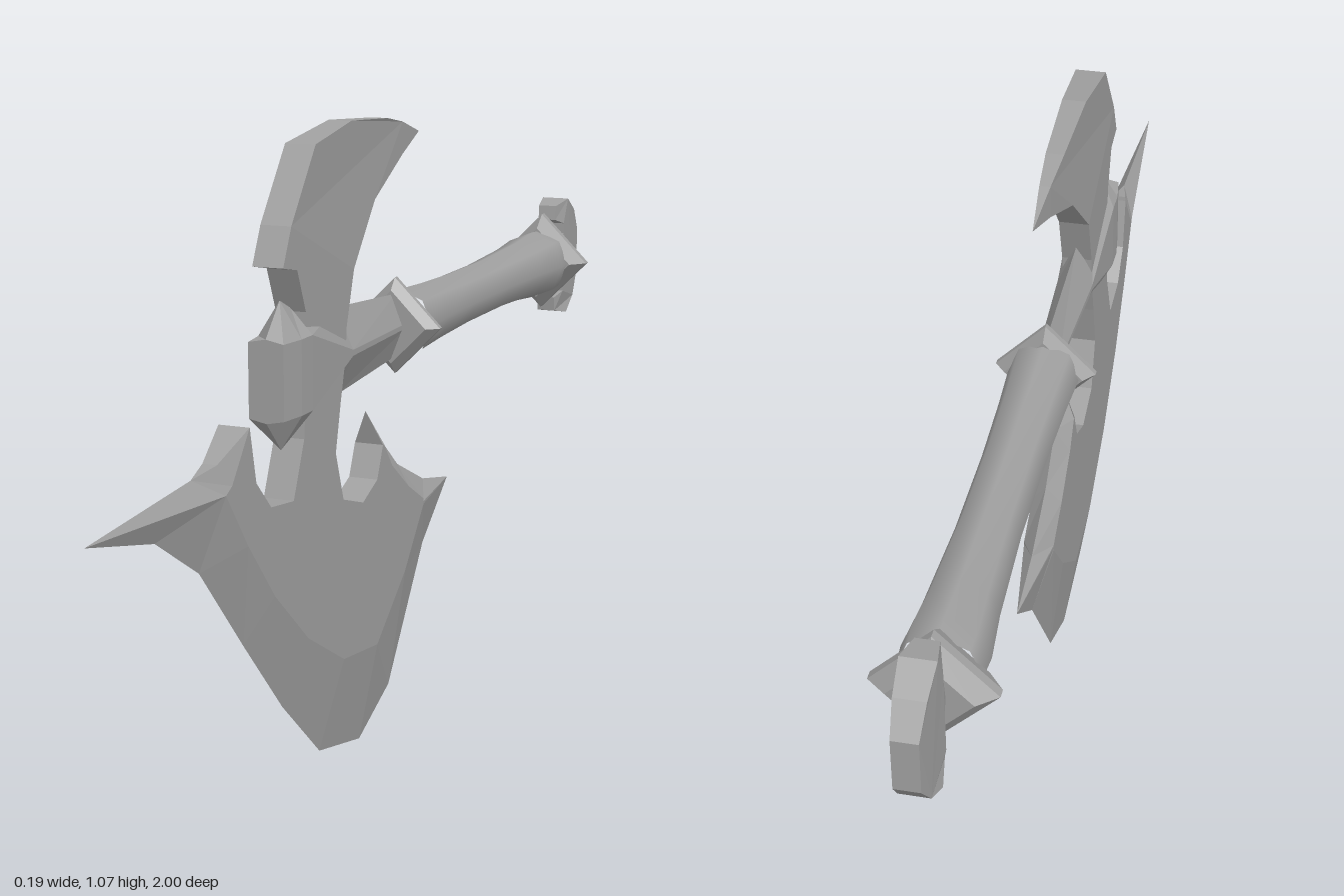
import * as THREE from 'three';

const AXIS_Y = 0.705; // height of the handle axis

function fromTriangles(tris) {
  const geo = new THREE.BufferGeometry();
  geo.setAttribute('position', new THREE.Float32BufferAttribute(tris.flat(2), 3));
  geo.computeVertexNormals();
  return geo;
}

// Plate lying in the zy plane. Each point is [z, y, half thickness at the rim],
// optionally followed by [inner z, inner y, inner half thickness] for a bevel.
function plate(points) {
  let pts = points.map(([z, y, t, iz = z, iy = y, it = t]) => ({ z, y, t, iz, iy, it }));
  if (THREE.ShapeUtils.area(pts.map((p) => new THREE.Vector2(-p.z, p.y))) < 0) pts.reverse();
  const tris = [];
  const quad = (a, b, c, d) => tris.push([a, b, c], [a, c, d]);
  const rim = (p, s) => [s * p.t, p.y, p.z];
  const inner = (p, s) => [s * p.it, p.iy, p.iz];

  pts.forEach((p, i) => {
    const q = pts[(i + 1) % pts.length];
    quad(inner(p, 1), rim(p, 1), rim(q, 1), inner(q, 1));
    quad(inner(q, -1), rim(q, -1), rim(p, -1), inner(p, -1));
    quad(rim(p, -1), rim(q, -1), rim(q, 1), rim(p, 1));
  });

  // flat sides, skipping repeated inner points
  const flat = pts.filter((p, i) => {
    const q = pts[(i + 1) % pts.length];
    return p.iz !== q.iz || p.iy !== q.iy;
  });
  const contour = flat.map((p) => new THREE.Vector2(-p.iz, p.iy));
  for (const [a, b, c] of THREE.ShapeUtils.triangulateShape(contour, [])) {
    tris.push([inner(flat[a], 1), inner(flat[b], 1), inner(flat[c], 1)]);
    tris.push([inner(flat[c], -1), inner(flat[b], -1), inner(flat[a], -1)]);
  }
  // drop triangles that collapse on sharp edges
  const v = (p) => new THREE.Vector3(...p);
  return fromTriangles(tris.filter(([a, b, c]) => new THREE.Triangle(v(a), v(b), v(c)).getArea() > 1e-8));
}

// Six-sided loft along z; each section is [z, half width, shoulder height, ridge height]
function loft(sections) {
  const loops = sections.map(([z, w, s, r]) =>
    [[w, s], [0, r], [-w, s], [-w, -s], [0, -r], [w, -s]].map(([x, y]) => [x, AXIS_Y + y, z]));
  const tris = [];
  for (let k = 0; k < loops.length - 1; k++) {
    const A = loops[k], B = loops[k + 1];
    for (let i = 0; i < 6; i++) {
      const j = (i + 1) % 6;
      tris.push([A[i], B[i], B[j]], [A[i], B[j], A[j]]);
    }
  }
  const first = loops[0], last = loops[loops.length - 1];
  for (let i = 1; i < 5; i++) {
    tris.push([first[0], first[i], first[i + 1]], [last[0], last[i + 1], last[i]]);
  }
  return fromTriangles(tris);
}

// Turned part around the handle axis; profile is [radius, z] with z rising
function turned(profile, sides, faceted) {
  let geo = new THREE.LatheGeometry(profile.map(([r, z]) => new THREE.Vector2(r, z)), sides);
  geo.rotateX(Math.PI / 2);
  geo.translate(0, AXIS_Y, 0);
  if (faceted) {
    geo = geo.toNonIndexed();
    geo.computeVertexNormals();
  }
  return geo;
}

export function createModel() {
  const group = new THREE.Group();
  const steel = new THREE.MeshStandardMaterial({ color: 0xa0a0a0 });
  const add = (name, geo) => {
    const mesh = new THREE.Mesh(geo, steel);
    mesh.name = name;
    group.add(mesh);
  };

  const h = 0.026;

  // Large lower blade with its neck, front spike and rear horn
  add('mainBlade', plate([
    [0.36, 0.70, h], [0.37, 0.60, h], [0.41, 0.51, h], [0.49, 0.52, h], [0.54, 0.57, h],
    [0.56, 0.66, h],
    [0.64, 0.62, 0.012, 0.62, 0.585, h],
    [0.70, 0.61, 0, 0.64, 0.575, h],
    [1.00, 0.59, 0, 0.64, 0.575, h],
    [0.81, 0.545, 0, 0.64, 0.575, h],
    [0.68, 0.465, 0, 0.57, 0.48, h],
    [0.54, 0.31, 0, 0.48, 0.375, h],
    [0.405, 0.165, 0, 0.36, 0.27, h],
    [0.265, 0.04, 0, 0.22, 0.19, h],
    [0.10, 0.003, 0, 0.08, 0.172, h],
    [-0.03, 0.06, 0, -0.045, 0.27, h],
    [-0.19, 0.28, 0, -0.13, 0.37, h],
    [-0.31, 0.375, 0, -0.13, 0.375, h],
    [-0.19, 0.40, 0, -0.13, 0.38, h],
    [-0.07, 0.455, 0, -0.06, 0.42, h],
    [0.01, 0.52, 0, 0.015, 0.475, h],
    [0.07, 0.58, 0, 0.05, 0.52, h],
    [0.055, 0.52, h, 0.056, 0.515, h],
    [0.08, 0.465, h], [0.14, 0.44, h], [0.22, 0.465, h], [0.25, 0.55, h], [0.23, 0.63, h],
    [0.21, 0.70, h],
  ]));

  // Curved upper blade, thinning toward its rear tip
  add('upperBlade', plate([
    [0.36, 0.70, h], [0.36, 0.80, h], [0.39, 0.87, h], [0.44, 0.88, h], [0.41, 0.94, h],
    [0.32, 1.055, h], [0.17, 1.078, 0.02], [0.01, 1.068, 0.015], [-0.07, 1.055, 0.009],
    [-0.165, 1.03, 0], [-0.07, 1.0, 0.009], [0.07, 0.94, 0.018], [0.175, 0.84, h],
    [0.205, 0.75, h], [0.21, 0.70, h],
  ]));

  // Head socket tapering into a ridged shaft
  add('headSocket', loft([
    [0.45, 0.03, 0.06, 0.066],
    [0.40, 0.037, 0.06, 0.118],
    [0.36, 0.037, 0.06, 0.10],
    [0.19, 0.031, 0.005, 0.073],
    [-0.06, 0.02, 0.004, 0.055],
  ]));

  // Flared grip
  add('handle', turned([
    [0.063, -0.81], [0.066, -0.77], [0.058, -0.68], [0.051, -0.5], [0.051, -0.32],
    [0.055, -0.18], [0.06, -0.08],
  ], 8, false));

  // Diamond-shaped collars at both ends of the grip
  add('frontCollar', turned([
    [0, -0.09], [0.066, -0.09], [0.084, -0.068], [0.084, -0.058], [0.064, -0.04], [0, -0.04],
  ], 4, true));
  add('rearCollar', turned([
    [0, -0.87], [0.064, -0.87], [0.095, -0.845], [0.095, -0.83], [0.07, -0.80], [0, -0.80],
  ], 4, true));

  // Crescent pommel, mirrored about the handle axis
  const half = [
    [-0.85, 0.035, 0.02], [-0.865, 0.04, 0.02], [-0.89, 0.05, 0.027], [-0.89, 0.07, 0.027],
    [-0.862, 0.08, 0.018], [-0.865, 0.108, 0.018], [-0.915, 0.118, 0.027],
    [-0.965, 0.09, 0.024], [-1.0, 0.045, 0.02],
  ];
  const mirrored = half.map(([z, y, t]) => [z, -y, t]).reverse();
  add('pommel', plate([...half, ...mirrored].map(([z, y, t]) => [z, AXIS_Y + y, t])));

  return group;
}
